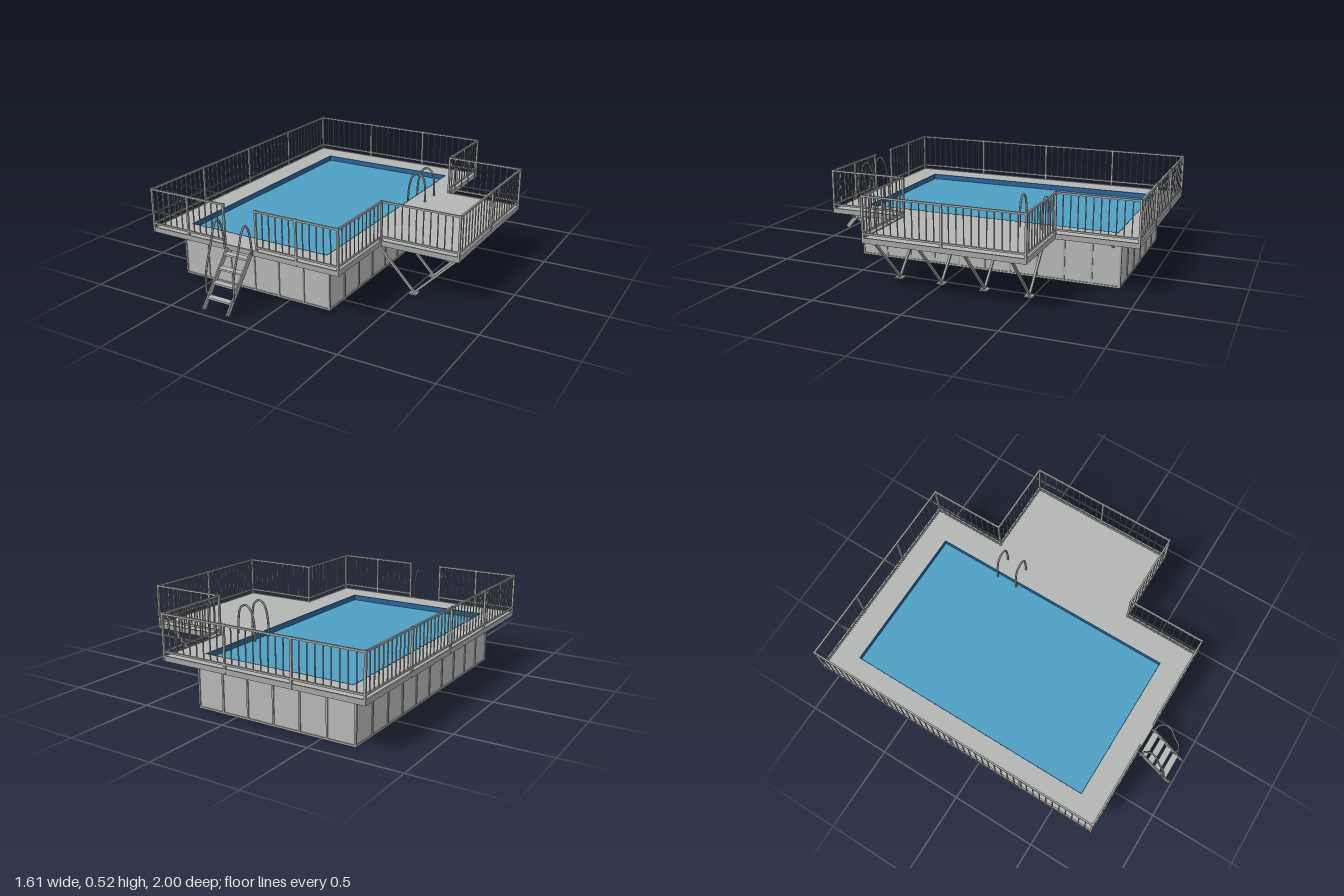
import * as THREE from 'three';
import { mergeGeometries } from 'three/addons/utils/BufferGeometryUtils.js';

const mat = (name, color) => {
  const m = new THREE.MeshStandardMaterial({ color });
  m.name = name;
  return m;
};

export function createModel() {
  const model = new THREE.Group();
  model.name = 'raisedPool';
  const grey = mat('deckGrey', 0xb4b6b4);
  const metal = mat('railGrey', 0xa2a4a3);
  const tubeGrey = mat('tubeGrey', 0x868887);
  const blue = mat('waterBlue', 0x4e9fc4);
  const liner = mat('linerBlue', 0x2a6296);

  const add = (name, geos, material, parent = model) => {
    const m = new THREE.Mesh(Array.isArray(geos) ? mergeGeometries(geos) : geos, material);
    m.name = name;
    parent.add(m);
    return m;
  };
  // Box from its minimum and maximum corners
  const box = (x0, x1, y0, y1, z0, z1) =>
    new THREE.BoxGeometry(x1 - x0, y1 - y0, z1 - z0)
      .translate((x0 + x1) / 2, (y0 + y1) / 2, (z0 + z1) / 2);
  // Rectangular bar between two points
  const bar = (a, b, w, h = w) => {
    const p = new THREE.Vector3(...a), q = new THREE.Vector3(...b);
    const o = new THREE.Object3D();
    o.position.copy(p).lerp(q, 0.5);
    o.lookAt(q);
    o.updateMatrix();
    return new THREE.BoxGeometry(w, h, p.distanceTo(q)).applyMatrix4(o.matrix);
  };
  const tube = (pts, r) => new THREE.TubeGeometry(
    new THREE.CatmullRomCurve3(pts.map(p => new THREE.Vector3(...p))), 40, r, 8);

  // Pool body, floor and water
  const X0 = -0.685, X1 = 0.24, Z0 = -0.877, Z1 = 0.64;
  add('poolWalls', box(X0, X1, 0.004, 0.255, Z0, Z1), grey);
  add('poolFloor', box(X0, X1, 0, 0.004, Z0, Z1), liner);
  add('water', box(-0.657, 0.212, 0.255, 0.26, -0.852, 0.612), blue);
  add('linerEdge', [
    box(-0.659, -0.655, 0.255, 0.291, -0.855, 0.613), box(0.208, 0.212, 0.255, 0.291, -0.855, 0.613),
    box(-0.655, 0.208, 0.255, 0.291, -0.855, -0.851), box(-0.655, 0.208, 0.255, 0.291, 0.609, 0.613),
  ], liner);

  // Wall frames: uprights at every panel seam, rails at top and bottom
  const frame = [], t = 0.005;
  for (let i = 0; i <= 6; i++) {
    const x = X0 + (X1 - X0) * i / 6;
    for (const z of [Z0, Z1]) frame.push(box(x - t, x + t, 0, 0.27, z - t, z + t));
  }
  for (let i = 1; i < 10; i++) {
    const z = Z0 + (Z1 - Z0) * i / 10;
    for (const x of [X0, X1]) frame.push(box(x - t, x + t, 0, 0.27, z - t, z + t));
  }
  for (const [y0, y1] of [[0, 0.01], [0.25, 0.272]]) {
    for (const z of [Z0, Z1]) frame.push(box(X0 - t, X1 + t, y0, y1, z - t, z + t));
    for (const x of [X0, X1]) frame.push(box(x - t, x + t, y0, y1, Z0 - t, Z1 + t));
  }
  add('wallFrame', frame, metal);

  // Deck slab with side platform and pool opening
  const outline = [[-0.8, 0.755], [0.36, 0.755], [0.36, 0.312], [0.8, 0.312],
    [0.8, -0.558], [0.36, -0.558], [0.36, -0.995], [-0.8, -0.995]];
  const v = (x, z) => new THREE.Vector2(x, -z);
  const shape = new THREE.Shape(outline.map(p => v(...p)));
  shape.holes.push(new THREE.Path([v(-0.656, 0.61), v(0.209, 0.61), v(0.209, -0.852), v(-0.656, -0.852)]));
  const slab = new THREE.ExtrudeGeometry(shape, { depth: 0.02, bevelEnabled: false });
  add('deck', slab.rotateX(-Math.PI / 2).translate(0, 0.27, 0), grey);
  const fascia = outline.map((p, i) => {
    const q = outline[(i + 1) % outline.length];
    return bar([p[0], 0.279, p[1]], [q[0], 0.279, q[1]], 0.008, 0.028);
  });
  add('deckFascia', fascia, metal);

  // Railings: each run has evenly spaced posts and balusters
  const railing = new THREE.Group();
  railing.name = 'railing';
  model.add(railing);
  const run = (a, b, bays) => {
    const geos = [];
    const len = Math.hypot(b[0] - a[0], b[1] - a[1]);
    const at = s => [a[0] + (b[0] - a[0]) * s, a[1] + (b[1] - a[1]) * s];
    const upright = (s, y0, y1, r) => {
      const [x, z] = at(s);
      geos.push(box(x - r, x + r, y0, y1, z - r, z + r));
    };
    const n = Math.round(len / bays / 0.041);
    for (let i = 0; i <= bays; i++) {
      upright(i / bays, 0.265, 0.517, 0.0055);
      if (i < bays) for (let k = 1; k < n; k++) upright((i + k / n) / bays, 0.315, 0.51, 0.0025);
    }
    for (const y of [0.315, 0.51]) geos.push(bar([a[0], y, a[1]], [b[0], y, b[1]], 0.01));
    add('railingRun', geos, metal, railing);
  };
  run([-0.8, -0.995], [0.36, -0.995], 3);
  run([-0.8, -0.995], [-0.8, 0.755], 4);
  run([-0.8, 0.755], [-0.32, 0.755], 2);
  run([-0.12, 0.755], [0.36, 0.755], 2);
  run([0.36, 0.755], [0.36, 0.312], 1);
  run([0.36, 0.312], [0.8, 0.312], 1);
  run([0.8, 0.312], [0.8, -0.558], 2);
  run([0.8, -0.558], [0.36, -0.558], 1);
  run([0.36, -0.558], [0.36, -0.995], 1);

  // Braces under the deck overhang
  const braces = [];
  const brace = (x, z, dx, dz) => {
    braces.push(bar([x, 0.218, z], [x + dx * 0.06, 0.267, z + dz * 0.06], 0.008));
    braces.push(bar([x, 0.264, z], [x + dx * 0.1, 0.264, z + dz * 0.1], 0.008));
    braces.push(box(x - 0.006, x + 0.006, 0.215, 0.268, z - 0.006, z + 0.006));
  };
  for (const x of [-0.645, -0.365, -0.08, 0.2]) {
    brace(x, Z1, 0, 1);
    brace(x, Z0, 0, -1);
  }
  for (const z of [0.6, 0.24, -0.12, -0.475, -0.835]) brace(X0, z, -1, 0);
  for (const z of [0.6, -0.835]) brace(X1, z, 1, 0);
  add('deckBraces', braces, metal);

  // V-shaped supports and beams below the side platform
  const supports = [];
  for (const z of [0.25, 0.005, -0.24, -0.485]) {
    supports.push(bar([0.53, 0.008, z], [0.285, 0.262, z], 0.012));
    supports.push(bar([0.53, 0.008, z], [0.785, 0.262, z], 0.012));
    supports.push(bar([0.25, 0.266, z], [0.8, 0.266, z], 0.012));
    supports.push(box(0.508, 0.552, 0, 0.008, z - 0.022, z + 0.022));
  }
  for (const z of [0.306, 0.128, -0.118, -0.362, -0.552])
    supports.push(bar([0.25, 0.266, z], [0.8, 0.266, z], 0.01));
  add('platformSupports', supports, metal);

  // Entry stairs
  const stairs = new THREE.Group();
  stairs.name = 'stairs';
  model.add(stairs);
  const stringers = [-0.295, -0.145].map(x => bar([x, 0.28, 0.768], [x, 0.021, 0.986], 0.008, 0.026));
  add('stringers', stringers, metal, stairs);
  const treads = [0, 1, 2, 3].map(i => {
    const y = 0.258 - 0.061 * i, z = 0.79 + 0.05 * i;
    return box(-0.293, -0.147, y - 0.005, y + 0.005, z - 0.018, z + 0.018);
  });
  add('treads', treads, grey, stairs);
  for (const x of [-0.308, -0.135]) {
    add('handrail', tube([[x, 0.28, 0.775], [x, 0.36, 0.783], [x, 0.425, 0.8], [x, 0.455, 0.826], [x, 0.43, 0.852],
      [x, 0.34, 0.885], [x, 0.24, 0.925], [x, 0.17, 0.938], [x, 0.09, 0.94]], 0.0055), tubeGrey, stairs);
    const s = x < -0.2 ? 1 : -1;
    add('handrailFoot', bar([x, 0.095, 0.94], [x + s * 0.013, 0.095, 0.925], 0.01), tubeGrey, stairs);
  }

  // Grab hoops at the pool edge
  for (const z of [-0.47, -0.345]) {
    add('grabHoop', tube([[0.193, 0.2, z], [0.192, 0.29, z], [0.2, 0.38, z], [0.22, 0.435, z], [0.253, 0.455, z],
      [0.286, 0.435, z], [0.3, 0.38, z], [0.304, 0.285, z]], 0.006), tubeGrey);
  }
  return model;
}
